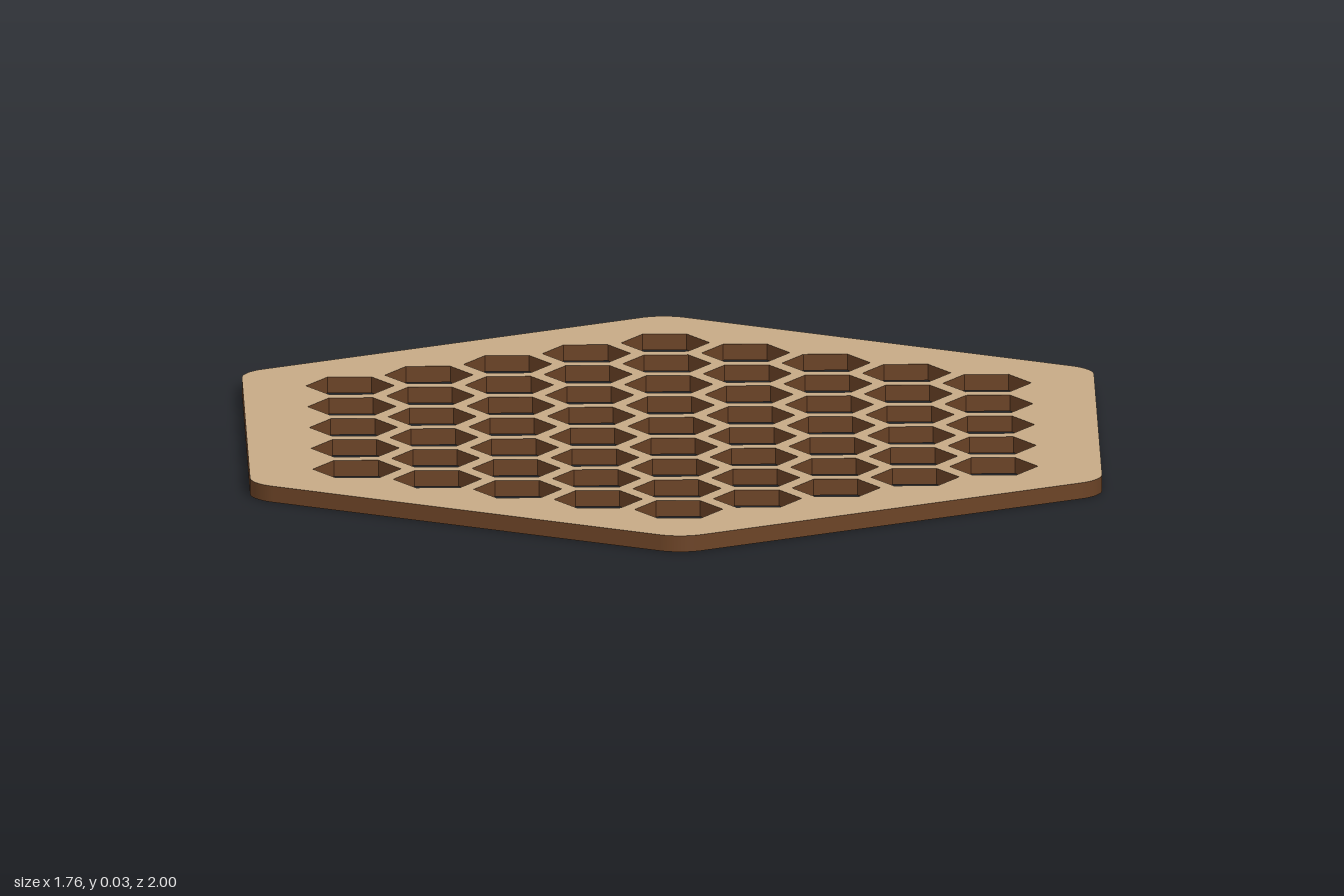
import * as THREE from 'three';

const THICKNESS = 0.034;
const OUTER = 1.014;      // centre to sharp corner
const FILLET = 0.09;      // corner rounding
const PITCH = 0.1895;     // spacing between holes
const HOLE = 0.091;       // hole circumradius

// Pointy-top hexagon with rounded corners
function plateOutline() {
  const shape = new THREE.Shape();
  const centre = OUTER - FILLET / Math.cos(Math.PI / 6);
  for (let i = 0; i < 6; i++) {
    const a = Math.PI / 6 + i * Math.PI / 3;
    shape.absarc(centre * Math.cos(a), centre * Math.sin(a), FILLET, a - Math.PI / 6, a + Math.PI / 6, false);
  }
  shape.closePath();
  return shape;
}

// Flat-top hexagonal hole
function hexHole(x, y) {
  const points = [];
  for (let i = 0; i < 6; i++) {
    const a = -i * Math.PI / 3;
    points.push(new THREE.Vector2(x + HOLE * Math.cos(a), y + HOLE * Math.sin(a)));
  }
  return new THREE.Path(points).closePath();
}

export function createModel() {
  const group = new THREE.Group();
  group.name = 'honeycombTrivet';

  const face = new THREE.MeshStandardMaterial({ color: 0xc6aa86 });
  face.name = 'lightWood';
  const edge = new THREE.MeshStandardMaterial({ color: 0x6b4326 });
  edge.name = 'burntEdge';

  // Honeycomb of holes: nine columns, five to nine holes each
  const shape = plateOutline();
  for (let c = -4; c <= 4; c++) {
    const count = 9 - Math.abs(c);
    for (let r = 0; r < count; r++) {
      shape.holes.push(hexHole(c * PITCH * Math.sqrt(3) / 2, (r - (count - 1) / 2) * PITCH));
    }
  }

  // Plate: light faces, dark cut walls
  const geometry = new THREE.ExtrudeGeometry(shape, { depth: THICKNESS, bevelEnabled: false, curveSegments: 10 });
  geometry.rotateX(-Math.PI / 2);
  const plate = new THREE.Mesh(geometry, [face, edge]);
  plate.name = 'perforatedPlate';
  group.add(plate);
  return group;
}
